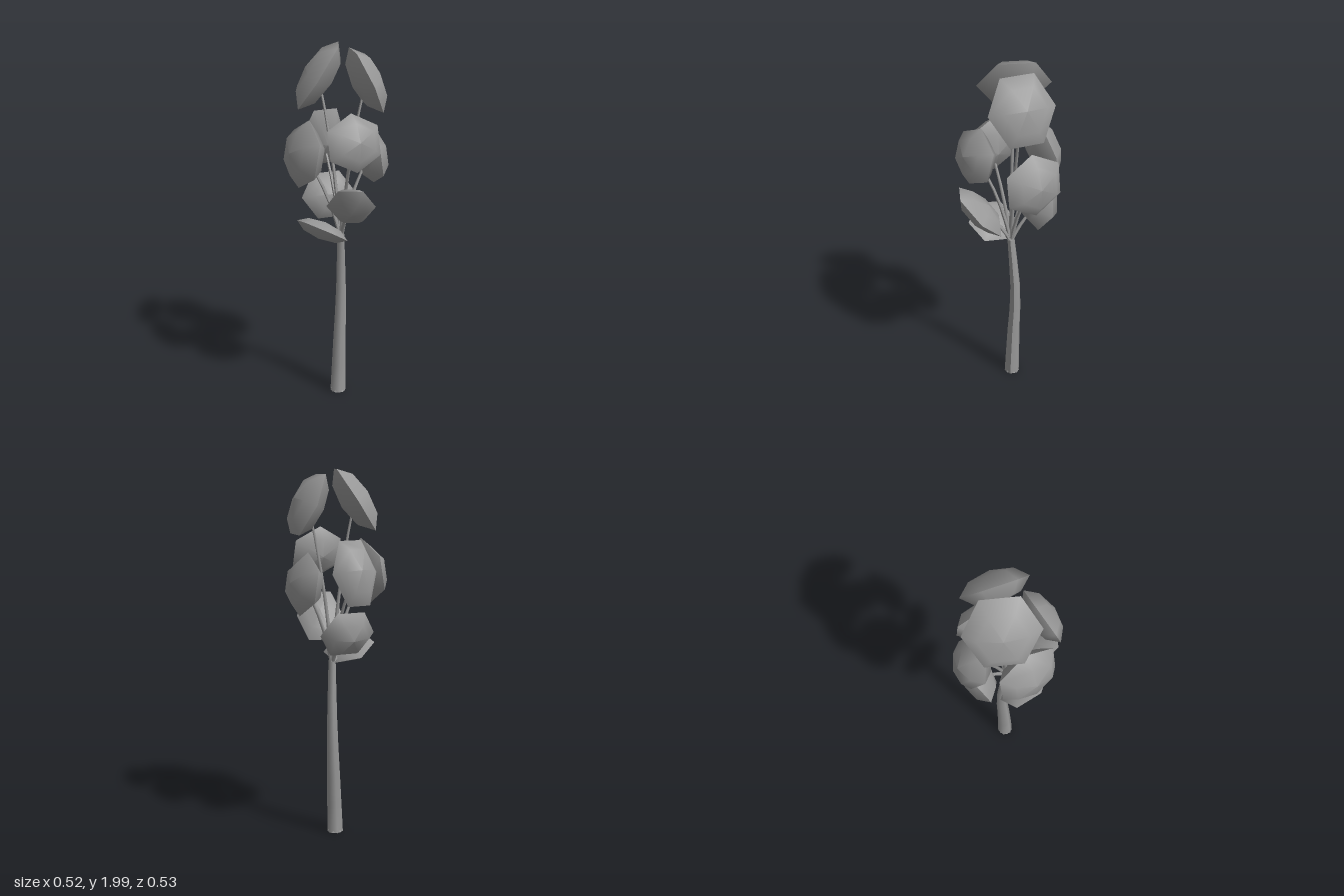
import * as THREE from 'three';
import { mergeGeometries } from 'three/addons/utils/BufferGeometryUtils.js';

const V = (x, y, z) => new THREE.Vector3(x, y, z);
const UP = V(0, 1, 0);

// Crown pads: centre, outward direction, half sizes [across, thick, along],
// and whether an edge (not a corner) is on top
const PADS = [
  { c: [-0.10, 1.83, 0.00], n: [-0.79, 0.54, 0.26], s: [0.19, 0.08, 0.195], flatTop: true },
  { c: [0.13, 1.805, -0.085], n: [0.77, 0.42, -0.48], s: [0.175, 0.08, 0.178], flatTop: true },
  { c: [-0.132, 1.445, 0.135], n: [-0.68, 0.18, 0.71], s: [0.165, 0.085, 0.18] },
  { c: [0.145, 1.535, 0.148], n: [0.68, 0.26, 0.68], s: [0.148, 0.075, 0.15] },
  { c: [0.135, 1.395, -0.15], n: [0.74, 0.15, -0.65], s: [0.158, 0.08, 0.168] },
  { c: [-0.135, 1.46, -0.145], n: [-0.65, 0.28, -0.70], s: [0.13, 0.085, 0.18], flatTop: true },
  { c: [0.125, 1.19, 0.133], n: [0.22, -0.66, 0.72], s: [0.128, 0.06, 0.165], flatTop: true },
  { c: [-0.095, 1.14, -0.135], n: [-0.60, -0.35, -0.72], s: [0.155, 0.085, 0.13], flatTop: true },
  { c: [-0.045, 1.025, 0.107], n: [-0.24, -0.84, 0.48], s: [0.142, 0.048, 0.132] },
];

// Tapered tube with few sides, swept through a curve, radius given by rule
function taperedTube(curve, steps, sides, radiusAt) {
  const geo = new THREE.TubeGeometry(curve, steps, 1, sides, false);
  const p = geo.attributes.position;
  for (let i = 0; i <= steps; i++) {
    const centre = curve.getPointAt(i / steps);
    for (let j = 0; j <= sides; j++) {
      const k = i * (sides + 1) + j;
      const v = V(0, 0, 0).fromBufferAttribute(p, k).sub(centre);
      v.multiplyScalar(radiusAt(i / steps)).add(centre);
      p.setXYZ(k, v.x, v.y, v.z);
    }
  }
  geo.computeVertexNormals();
  return geo;
}

// Six-sided thick lens: a smooth dome on each side, meeting at a sharp rim
function padGeometry([across, thick, along], flatTop) {
  const outer = [[1, 0], [0.64, 0.72], [0, 1]];
  const inner = [[0, -1], [0.64, -0.72], [1, 0]];
  const geo = mergeGeometries([outer, inner].map(
    (pts) => new THREE.LatheGeometry(pts.map(([x, y]) => new THREE.Vector2(x, y)), 6)));
  if (flatTop) geo.rotateY(Math.PI / 6);
  // Widen the direction in which a hexagon is narrower
  const wide = 1.1;
  return geo.scale(across * (flatTop ? 1 : wide), thick, along * (flatTop ? wide : 1));
}

export function createModel() {
  const group = new THREE.Group();
  const grey = new THREE.MeshStandardMaterial({ color: 0x999999 });
  grey.name = 'grey';

  const add = (name, geo) => {
    const mesh = new THREE.Mesh(geo, grey);
    mesh.name = name;
    group.add(mesh);
    return mesh;
  };

  // Slightly bent trunk
  const path = new THREE.CatmullRomCurve3([
    V(0.003, 0, -0.01), V(0.008, 0.3, -0.02), V(0.013, 0.6, -0.032), V(0.02, 0.97, -0.008),
  ]);
  add('trunk', taperedTube(path, 6, 6, (t) => 0.045 - 0.025 * t));
  const base = add('trunkBase', new THREE.CylinderGeometry(0.04, 0.044, 0.01, 6));
  base.position.set(0.003, 0.005, -0.01);
  const tip = add('trunkTip', new THREE.ConeGeometry(0.021, 0.05, 6));
  tip.position.set(0.02, 0.99, -0.006);

  // Pads, each carried by a thin curved stem
  const fork = V(0.02, 0.95, -0.008);
  PADS.forEach(({ c, n, s, flatTop }, i) => {
    const normal = V(...n).normalize();
    const centre = V(...c);

    const pad = add('crownPad' + (i + 1), padGeometry(s, flatTop));
    // Local z follows the steepest direction in the pad's plane
    const side = V(0, 0, 0).crossVectors(normal, UP).normalize();
    const along = V(0, 0, 0).crossVectors(side, normal);
    pad.quaternion.setFromRotationMatrix(new THREE.Matrix4().makeBasis(side, normal, along));
    pad.position.copy(centre);

    const bend = V(
      THREE.MathUtils.lerp(fork.x, centre.x, 0.3),
      THREE.MathUtils.lerp(fork.y, centre.y, 0.55),
      THREE.MathUtils.lerp(fork.z, centre.z, 0.3));
    const curve = new THREE.QuadraticBezierCurve3(fork, bend, centre);
    add('stem' + (i + 1), taperedTube(curve, 5, 5, (t) => 0.012 - 0.006 * t));
  });

  return group;
}
